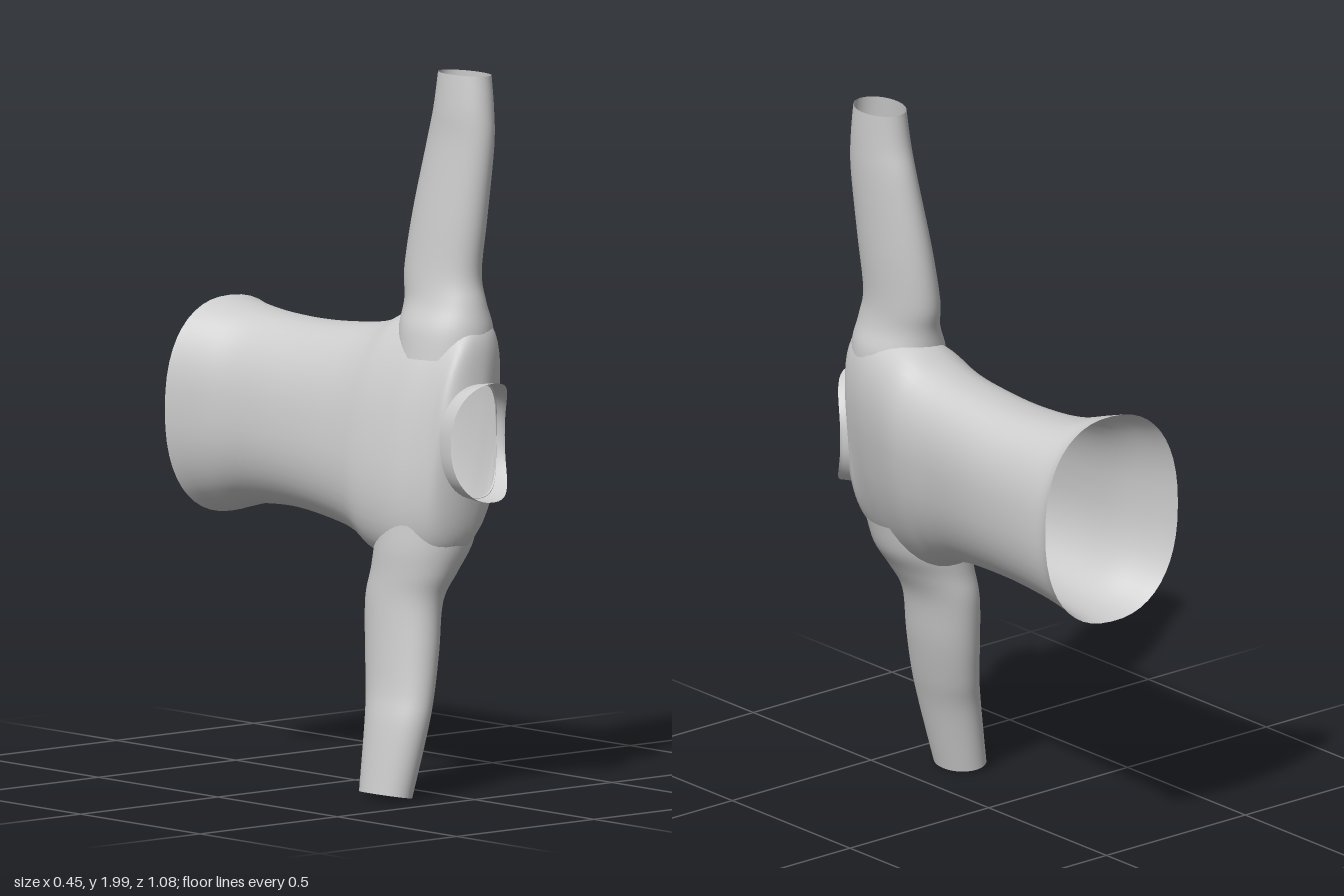
import * as THREE from 'three';

const N = 48; // points around every ring
const fabric = new THREE.MeshStandardMaterial({ color: 0xcccccc, side: THREE.DoubleSide });

// Smoothly interpolated rows of numbers (Catmull-Rom per column)
function smoothRows(rows, steps) {
  const out = [];
  const at = (i, c) => rows[Math.min(rows.length - 1, Math.max(0, i))][c];
  for (let i = 0; i < rows.length - 1; i++) {
    for (let s = 0; s < steps; s++) {
      const t = s / steps;
      out.push(rows[0].map((_, c) => {
        const a = at(i - 1, c), b = at(i, c), d = at(i + 1, c), e = at(i + 2, c);
        return 0.5 * (2 * b + (d - a) * t + (2 * a - 5 * b + 4 * d - e) * t * t
          + (3 * b - a - 3 * d + e) * t * t * t);
      }));
    }
  }
  out.push(rows[rows.length - 1]);
  return out;
}

// Open tube through closed cross-sections; point(row, cos, sin) gives [x, y, z]
function loft(name, rows, point) {
  const pos = [], index = [];
  rows.forEach((row, r) => {
    for (let i = 0; i < N; i++) {
      const u = (i / N) * Math.PI * 2;
      pos.push(...point(row, Math.cos(u), Math.sin(u)));
      if (r < rows.length - 1) {
        const a = r * N + i, b = r * N + (i + 1) % N;
        index.push(a, b, a + N, b, b + N, a + N);
      }
    }
  });
  const geo = new THREE.BufferGeometry();
  geo.setAttribute('position', new THREE.Float32BufferAttribute(pos, 3));
  geo.setIndex(index);
  geo.computeVertexNormals();
  const mesh = new THREE.Mesh(geo, fabric);
  mesh.name = name;
  return mesh;
}

// Slightly squared ellipse
const sq = (v, p) => Math.sign(v) * Math.pow(Math.abs(v), p);

// Torso section: z, xMin, xMax, half height, shear, hem slant, neckline dip
function torsoPoint([z, x0, x1, hy, shear, slant, dip], c, s) {
  const cx = (x0 + x1) / 2, a = (x1 - x0) / 2;
  const dy = hy * sq(s, 0.87), dx = a * sq(c, 0.87);
  const drop = dip * c * c * (c > 0 ? 1 : 0.35);
  return [cx + dx + shear * dy, 1 + dy, z + slant * dx - drop];
}

// Sleeve section: y, xMin, xMax, zMin, zMax, slope of the cut
function sleevePoint([y, x0, x1, z0, z1, slope], c, s) {
  const dx = (x1 - x0) / 2 * c;
  return [(x0 + x1) / 2 + dx, y + slope * dx, (z0 + z1) / 2 - (z1 - z0) / 2 * s];
}

export function createModel() {
  const group = new THREE.Group();
  group.name = 'longSleeveShirt';

  // Torso from flared hem to neck opening
  group.add(loft('torso', smoothRows([
    [-0.522, -0.222, 0.222, 0.30, 0, 0.09, 0],
    [-0.48, -0.195, 0.213, 0.288, 0, 0.07, 0],
    [-0.38, -0.145, 0.218, 0.265, 0.04, 0.02, 0],
    [-0.2, -0.135, 0.22, 0.258, 0.1, 0, 0],
    [0, -0.14, 0.21, 0.275, 0.15, 0, 0],
    [0.1, -0.145, 0.213, 0.298, 0.16, 0, 0],
    [0.18, -0.148, 0.21, 0.335, 0.17, 0, 0],
    [0.3, -0.135, 0.185, 0.355, 0.18, 0, 0],
    [0.38, -0.115, 0.165, 0.345, 0.18, 0, 0.01],
    [0.435, -0.105, 0.155, 0.315, 0.16, 0, 0.03],
    [0.465, -0.1, 0.15, 0.26, 0.1, 0, 0.045],
    [0.485, -0.09, 0.14, 0.158, 0, 0, 0.055],
  ], 5), torsoPoint));

  // Collar band, standing higher beside the neck
  group.add(loft('collar', [
    [0.475, -0.093, 0.145, 0.158, 0, 0, 0.055],
    [0.508, -0.095, 0.152, 0.162, 0, 0, 0.07],
    [0.537, -0.09, 0.16, 0.165, 0, 0, 0.095],
  ], torsoPoint));

  // Sleeve on the upper side
  group.add(loft('upperSleeve', smoothRows([
    [1.22, -0.07, 0.18, 0.17, 0.458, 0],
    [1.3, -0.055, 0.18, 0.165, 0.452, 0],
    [1.37, -0.025, 0.16, 0.165, 0.435, 0],
    [1.45, -0.01, 0.155, 0.152, 0.416, 0],
    [1.6, 0.01, 0.165, 0.165, 0.425, 0],
    [1.8, 0.038, 0.175, 0.2, 0.436, 0],
    [1.9, 0.045, 0.176, 0.225, 0.43, 0],
    [1.997, 0.055, 0.175, 0.238, 0.415, -0.05],
  ], 5), sleevePoint));

  // Sleeve on the lower side
  group.add(loft('lowerSleeve', smoothRows([
    [0.02, -0.23, -0.11, 0.235, 0.41, -0.17],
    [0.2, -0.2, -0.065, 0.215, 0.43, -0.15],
    [0.3, -0.178, -0.035, 0.192, 0.428, -0.1],
    [0.42, -0.165, -0.005, 0.168, 0.42, -0.05],
    [0.55, -0.155, 0.02, 0.154, 0.412, 0],
    [0.63, -0.15, 0.06, 0.162, 0.435, 0],
    [0.7, -0.148, 0.105, 0.165, 0.452, 0],
    [0.78, -0.14, 0.13, 0.17, 0.458, 0],
  ], 5), sleevePoint));

  return group;
}
